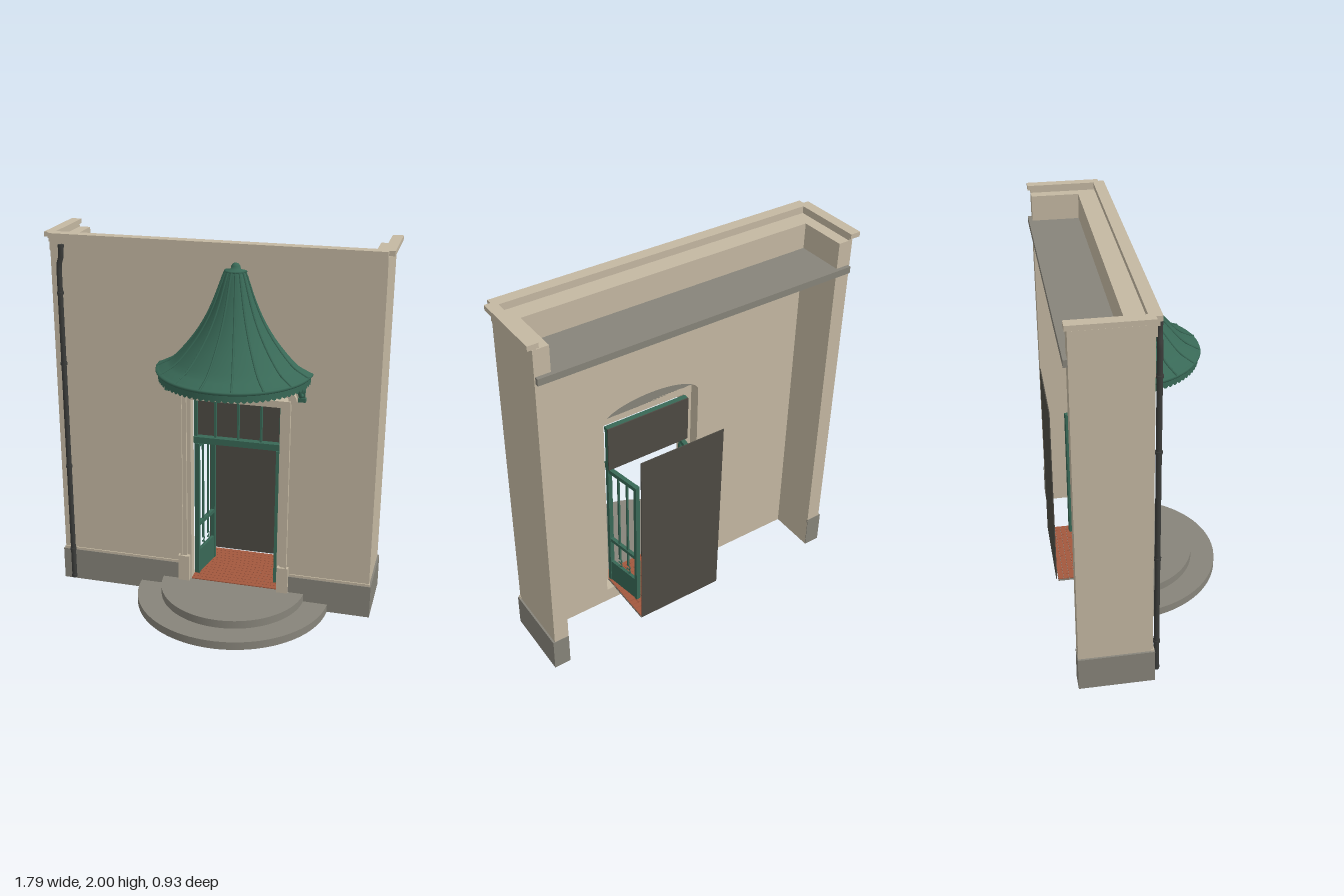
import * as THREE from 'three';
import { mergeGeometries } from 'three/addons/utils/BufferGeometryUtils.js';

const mat = (name, color, double) => {
  const m = new THREE.MeshStandardMaterial({ color });
  m.name = name;
  if (double) m.side = THREE.DoubleSide;
  return m;
};
const CX = 0.117; // door axis
const WALL = -0.06, INNER = -0.18, BACK = -0.43;

export function createModel() {
  const plaster = mat('plaster', 0xc4b8a2), stone = mat('stone', 0x87847a);
  const green = mat('green metal', 0x386856, true), glass = mat('dark glass', 0x4d4a43);
  const iron = mat('drainpipe iron', 0x3b3c3a), brick = mat('brick', 0xa3583e);
  const root = new THREE.Group();

  const add = (parent, name, geometry, material) => {
    const mesh = new THREE.Mesh(geometry, material);
    mesh.name = name;
    parent.add(mesh);
    return mesh;
  };
  // box geometry from its limits
  const box = (x0, x1, y0, y1, z0, z1) =>
    new THREE.BoxGeometry(x1 - x0, y1 - y0, z1 - z0)
      .translate((x0 + x1) / 2, (y0 + y1) / 2, (z0 + z1) / 2);
  const block = (name, m, ...limits) => add(root, name, box(...limits), m);
  // extrude a shape between two depths
  const slab = (name, shape, z0, z1, m) => add(root, name,
    new THREE.ExtrudeGeometry(shape, { depth: z1 - z0, bevelEnabled: false, curveSegments: 24 }).translate(0, 0, z0), m);
  // arched outline centred on the door axis
  const arch = (Kind, w, y0, spring, rise) => {
    const s = new Kind();
    s.moveTo(CX - w, y0);
    s.lineTo(CX + w, y0);
    s.lineTo(CX + w, spring);
    s.absellipse(CX, spring, w, rise, 0, Math.PI, false);
    s.closePath();
    return s;
  };
  const rect = (Kind, x0, x1, y0, y1) => {
    const s = new Kind();
    s.moveTo(x0, y0); s.lineTo(x1, y0); s.lineTo(x1, y1); s.lineTo(x0, y1);
    s.closePath();
    return s;
  };

  // Front wall with arched doorway, and returning side walls
  const wall = rect(THREE.Shape, -0.87, 0.865, 0, 1.96);
  wall.holes.push(arch(THREE.Path, 0.286, 0.082, 1.2, 0.1));
  slab('frontWall', wall, INNER, WALL, plaster);
  block('rightSideWall', plaster, -0.87, -0.79, 0, 1.96, BACK, INNER);
  block('leftSideWall', plaster, 0.785, 0.865, 0, 1.96, BACK, INNER);

  // Roof behind the parapet
  block('roofSlab', stone, -0.79, 0.785, 1.79, 1.825, BACK, INNER);
  block('roofEdge', stone, -0.86, 0.86, 1.79, 1.825, -0.45, BACK);

  // Cornice along the outer edge
  block('corniceBand', plaster, -0.87, 0.865, 1.905, 1.96, WALL, -0.052);
  block('corniceMoulding', plaster, -0.87, 0.865, 1.955, 1.976, -0.085, -0.042);
  block('corniceFront', plaster, -0.87, 0.865, 1.975, 2, -0.09, -0.03);
  for (const [name, a, b, c, d] of [['Right', -0.9, -0.845, -0.866, -0.85], ['Left', 0.84, 0.895, 0.845, 0.861]]) {
    block('cornice' + name, plaster, a, b, 1.975, 2, -0.445, WALL);
    block('corniceSupport' + name, plaster, c, d, 1.955, 1.976, BACK, -0.08);
  }

  // Plinth, interrupted by the door
  for (const [x0, x1] of [[-0.88, CX - 0.308], [CX + 0.308, 0.875]]) {
    block('plinthFront', stone, x0, x1, 0, 0.185, -0.07, -0.05);
    block('plinthCap', plaster, x0 + 0.006, x1 - 0.006, 0.185, 0.198, -0.07, -0.054);
  }
  for (const [x0, x1] of [[-0.88, -0.868], [0.863, 0.875]])
    block('plinthSide', stone, x0, x1, 0, 0.185, BACK - 0.003, -0.07);
  for (const [x0, x1] of [[-0.87, -0.79], [0.785, 0.865]])
    block('plinthBack', stone, x0, x1, 0, 0.185, BACK - 0.003, BACK + 0.01);

  // Door surround: nested frames that step forward
  for (const [outer, inner, top, innerTop, z0, z1] of [
    [0.287, 0.241, 1.2, 1.155, -0.12, -0.06],
    [0.298, 0.262, 1.2, 1.176, -0.07, -0.046],
    [0.298, 0.284, 1.2, 1.188, -0.05, -0.036]]) {
    const s = new THREE.Shape();
    [[-outer, 0.09], [-outer, top], [outer, top], [outer, 0.09], [inner, 0.09],
      [inner, innerTop], [-inner, innerTop], [-inner, 0.09]].forEach(([x, y], i) =>
      i ? s.lineTo(CX + x, y) : s.moveTo(CX + x, y));
    s.closePath();
    slab('doorSurround', s, z0, z1, plaster);
  }
  for (const x of [-0.278, 0.278])
    block('surroundFoot', plaster, CX + x - 0.031, CX + x + 0.031, 0.05, 0.24, -0.1, -0.032);
  slab('tympanum', arch(THREE.Shape, 0.286, 1.19, 1.2, 0.1), -0.12, -0.1, stone);

  // Arch moulding over the door
  const ring = (w0, r0, w1, r1, z) => {
    const s = new THREE.Shape();
    s.moveTo(CX + w1, 1.18);
    s.absellipse(CX, 1.2, w1, r1, 0, Math.PI, false);
    s.lineTo(CX - w1, 1.18);
    s.lineTo(CX - w0, 1.18);
    s.absellipse(CX, 1.2, w0, r0, Math.PI, 0, true);
    s.lineTo(CX + w0, 1.18);
    s.closePath();
    slab('archMoulding', s, WALL - 0.005, z, plaster);
  };
  ring(0.286, 0.1, 0.33, 0.135, -0.046);
  ring(0.312, 0.12, 0.33, 0.135, -0.036);

  // Half-round steps
  for (const [r, y0, y1] of [[0.53, 0, 0.045], [0.398, 0.045, 0.09]])
    add(root, 'step', new THREE.CylinderGeometry(r, r, y1 - y0, 48, 1, false, -Math.PI / 2, Math.PI)
      .translate(CX - 0.002, (y0 + y1) / 2, -0.065), stone);

  // Brick floor
  block('floorBed', stone, CX - 0.241, CX + 0.241, 0.08, 0.09, -0.45, WALL);
  const bricks = [];
  const rows = 13, bw = 0.482 / 6, bd = 0.39 / rows;
  for (let r = 0; r < rows; r++)
    for (let c = 0; c < 7; c++) {
      const x = CX - 0.241 + (c - (r % 2) * 0.5) * bw, z = -0.45 + r * bd;
      const x0 = Math.max(x, CX - 0.241), x1 = Math.min(x + bw, CX + 0.241);
      if (x1 - x0 > 0.01) bricks.push(box(x0 + 0.001, x1 - 0.001, 0.082, 0.095, z + 0.001, z + bd - 0.001));
    }
  add(root, 'floorBricks', mergeGeometries(bricks), brick);
  block('backPanel', glass, CX - 0.242, CX + 0.242, 0.095, 1.15, -0.462, -0.457);

  // Transom window with four panes
  block('transomGlass', glass, CX - 0.241, CX + 0.241, 0.895, 1.155, -0.16, -0.154);
  block('transomSill', green, CX - 0.241, CX + 0.241, 0.89, 0.925, -0.154, -0.115);
  block('transomTop', green, CX - 0.241, CX + 0.241, 1.138, 1.155, -0.154, -0.125);
  for (const x of [-0.233, -0.125, 0, 0.125, 0.233]) {
    const w = Math.abs(x) > 0.2 ? 0.008 : 0.005;
    block('transomBar', green, CX + x - w, CX + x + w, 0.92, 1.14, -0.154, -0.13);
  }

  // Gate leaves, standing open inwards
  const L = 0.225;
  for (const [name, x, angle] of [['rightGate', CX - 0.225, 80], ['leftGate', CX + 0.225, 100]]) {
    const gate = new THREE.Group();
    gate.name = name;
    gate.position.set(x, 0, -0.12);
    gate.rotation.y = THREE.MathUtils.degToRad(angle);
    const bar = (part, x0, x1, y0, y1, t) => add(gate, part, box(x0, x1, y0, y1, -t, t), green);
    bar('stile', 0, 0.018, 0.098, 0.885, 0.013);
    bar('stile', L - 0.018, L, 0.098, 0.885, 0.013);
    bar('topRail', 0.018, L - 0.018, 0.862, 0.885, 0.012);
    bar('middleRail', 0.018, L - 0.018, 0.385, 0.405, 0.01);
    bar('kickPanel', 0.018, L - 0.018, 0.098, 0.235, 0.009);
    for (const bx of [0.08, 0.145]) {
      bar('gateBar', bx - 0.005, bx + 0.005, 0.29, 0.862, 0.005);
      for (const sy of [0.25, 0.277])
        add(gate, 'scroll', new THREE.TorusGeometry(0.014, 0.0035, 6, 14, Math.PI * 1.5)
          .rotateZ(-Math.PI * 0.75).translate(bx, sy, 0), green);
    }
    root.add(gate);
  }

  // Bell-shaped half canopy
  const canopy = new THREE.Group();
  canopy.name = 'canopy';
  canopy.position.set(CX, 0, -0.055);
  root.add(canopy);
  const curve = new THREE.SplineCurve([[0.405, 1.355], [0.365, 1.375], [0.313, 1.406], [0.22, 1.51], [0.155, 1.61],
    [0.108, 1.71], [0.068, 1.82], [0.052, 1.86]].map(p => new THREE.Vector2(...p)));
  const profile = curve.getPoints(20);
  const lathe = (name, pts, seg = 32) => add(canopy, name,
    new THREE.LatheGeometry(pts, seg, -Math.PI / 2, Math.PI), green);
  lathe('canopyRoof', profile);
  const pts = a => a.map(p => new THREE.Vector2(...p));
  lathe('canopyRim', pts([[0.385, 1.342], [0.402, 1.342], [0.408, 1.35], [0.405, 1.358], [0.39, 1.362]]));
  lathe('finial', pts([[0.05, 1.855], [0.06, 1.858], [0.054, 1.866], [0.026, 1.87], [0.023, 1.885], [0.014, 1.897], [0, 1.902]]), 12);
  for (let i = 0; i < 8; i++) {
    const a = (-78.75 + i * 22.5) * Math.PI / 180;
    const path = new THREE.CatmullRomCurve3(profile.filter((p, k) => k % 2 === 0)
      .map(p => new THREE.Vector3(p.x * Math.sin(a), p.y + 0.002, p.x * Math.cos(a))));
    add(canopy, 'canopySeam', new THREE.TubeGeometry(path, 20, 0.006, 5), green);
  }
  // Valance with a scalloped lower edge
  const N = 40;
  const valance = new THREE.CylinderGeometry(0.395, 0.395, 0.045, N * 4, 1, true, -Math.PI / 2, Math.PI);
  valance.translate(0, 1.3225, 0);
  const pos = valance.attributes.position;
  for (let i = N * 4 + 1; i < pos.count; i++)
    pos.setY(i, 1.312 - 0.011 * Math.abs(Math.sin((i - N * 4 - 1) * Math.PI / 4)));
  add(canopy, 'valance', valance, green);

  // Canopy brackets
  for (const x of [CX - 0.355, CX + 0.355]) {
    block('bracketPlate', green, x - 0.015, x + 0.015, 1.205, 1.31, WALL, -0.042);
    block('bracketHead', green, x - 0.021, x + 0.021, 1.285, 1.305, WALL, 0.04);
    block('bracketFoot', green, x - 0.02, x + 0.02, 1.205, 1.225, WALL, -0.034);
    const path = new THREE.QuadraticBezierCurve3(new THREE.Vector3(x, 1.24, -0.045),
      new THREE.Vector3(x, 1.245, 0.03), new THREE.Vector3(x, 1.3, 0.035));
    add(root, 'bracketBrace', new THREE.TubeGeometry(path, 12, 0.01, 8), green);
  }

  // Drainpipe with clamps
  const pipe = new THREE.CatmullRomCurve3([[-0.815, 0.02], [-0.815, 0.6], [-0.815, 1.3], [-0.815, 1.78], [-0.814, 1.84],
    [-0.801, 1.885], [-0.8, 1.945]].map(([x, y]) => new THREE.Vector3(x, y, -0.032)));
  add(root, 'drainpipe', new THREE.TubeGeometry(pipe, 60, 0.014, 10), iron);
  for (const [x, y] of [[-0.815, 0.028], [-0.8, 1.937]])
    add(root, 'pipeEnd', new THREE.CylinderGeometry(0.016, 0.016, 0.016, 10).translate(x, y, -0.032), iron);
  for (const y of [0.2, 0.71, 1.305, 1.69]) {
    add(root, 'pipeClamp', new THREE.CylinderGeometry(0.018, 0.018, 0.014, 10).translate(-0.815, y, -0.032), iron);
    block('pipeBracket', iron, -0.82, -0.81, y - 0.005, y + 0.005, WALL, -0.03);
  }
  return root;
}
